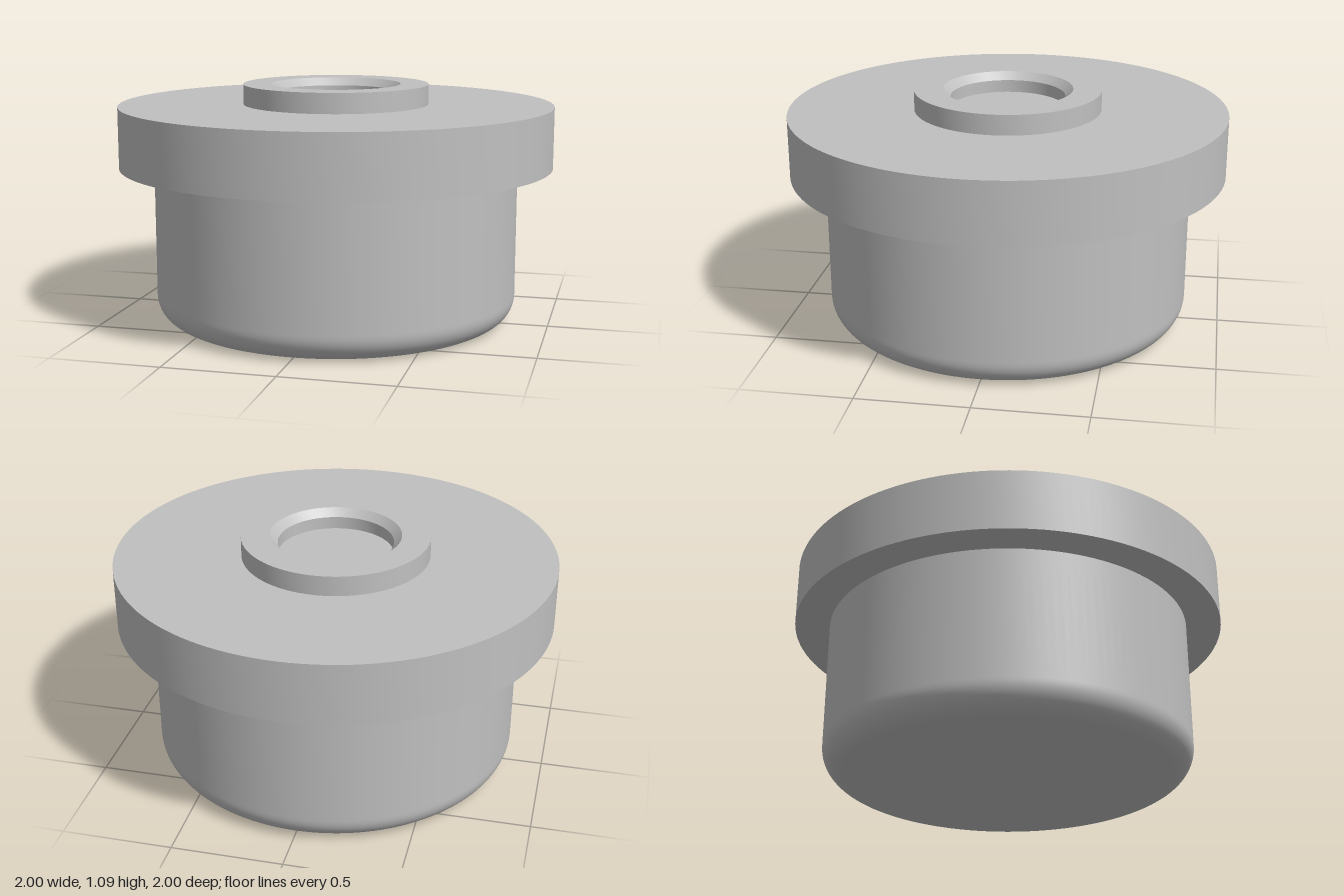
import * as THREE from 'three';
import { toCreasedNormals } from 'three/addons/utils/BufferGeometryUtils.js';

const SEGMENTS = 128;

export function createModel() {
  const group = new THREE.Group();
  const grey = new THREE.MeshStandardMaterial({ color: 0xc0c0c0 });
  grey.name = 'grey';

  // Turned part from an outward-facing [radius, height] profile, with sharp corners kept.
  function turned(name, profile) {
    const points = profile.map(([r, y]) => new THREE.Vector2(r, y));
    const geometry = toCreasedNormals(new THREE.LatheGeometry(points, SEGMENTS), 0.5);
    const mesh = new THREE.Mesh(geometry, grey);
    mesh.name = name;
    group.add(mesh);
  }

  // Cylindrical body with a rounded bottom edge
  const bodyRadius = 0.84, fillet = 0.12, steps = 12;
  const body = [[0, 0], [bodyRadius - fillet - 0.01, 0]];
  for (let i = 0; i <= steps; i++) {
    const a = (i / steps) * Math.PI / 2;
    body.push([bodyRadius - fillet + fillet * Math.sin(a), fillet - fillet * Math.cos(a)]);
  }
  body.push([bodyRadius, fillet + 0.01], [bodyRadius, 0.72]);
  turned('body', body);

  // Wide flange
  turned('flange', [[bodyRadius, 0.72], [1, 0.72], [1, 1], [0.427, 1]]);

  // Raised ring with a chamfered recess, floor level with the flange top
  turned('boss', [[0.427, 1], [0.427, 1.092], [0.297, 1.092], [0.262, 1.057], [0.262, 1], [0, 1]]);

  return group;
}
